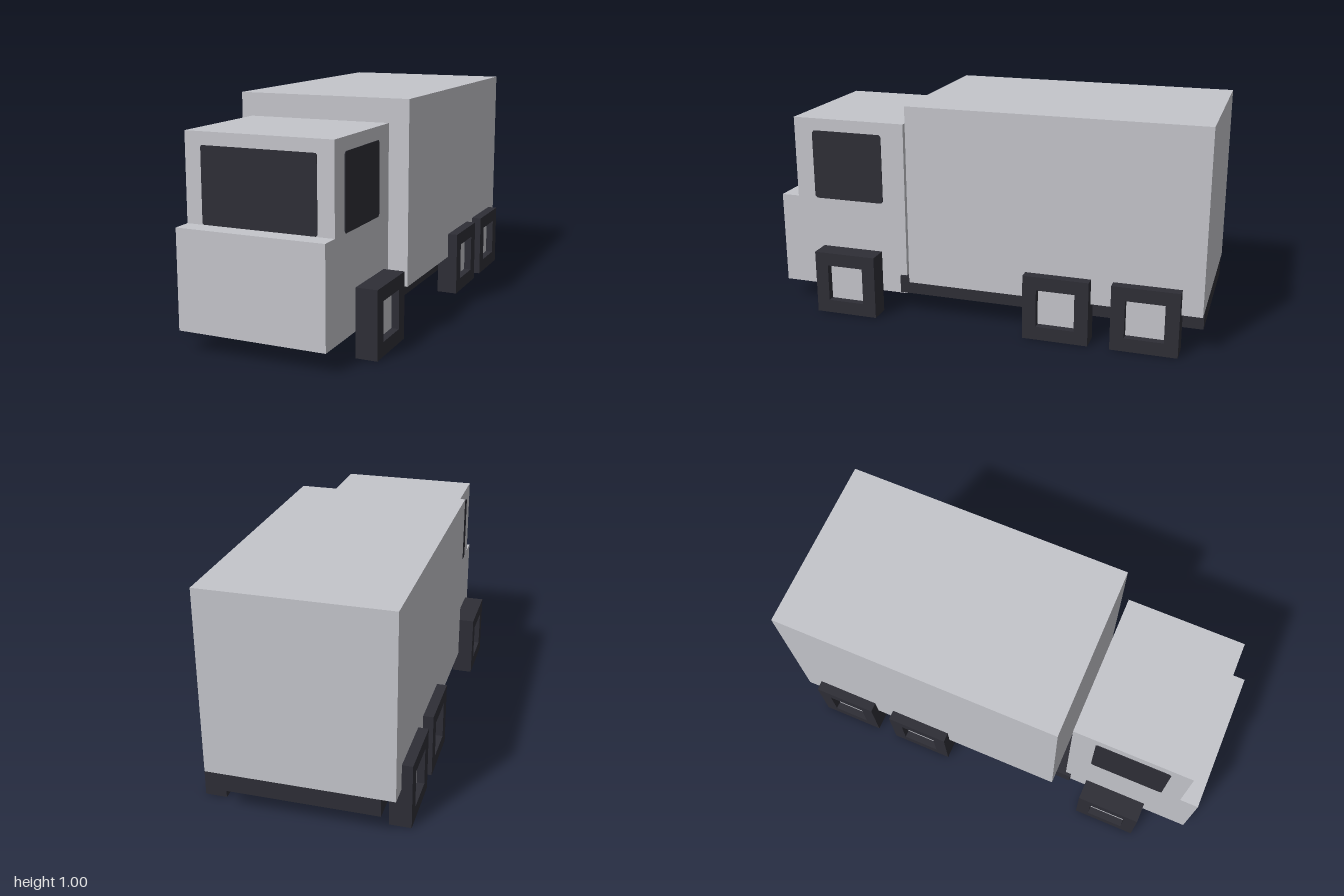
import * as THREE from 'three';

const paint = new THREE.MeshStandardMaterial({ name: 'pale grey paint', color: 0xc4c5cb });
const dark = new THREE.MeshStandardMaterial({ name: 'dark charcoal', color: 0x2e2e36 });

function add(parent, name, geometry, material, x = 0, y = 0, z = 0) {
  const mesh = new THREE.Mesh(geometry, material);
  mesh.name = name;
  mesh.position.set(x, y, z);
  parent.add(mesh);
  return mesh;
}

// Box given by its min and max on each axis
function block(parent, name, material, [x0, x1], [y0, y1], [z0, z1]) {
  return add(parent, name, new THREE.BoxGeometry(x1 - x0, y1 - y0, z1 - z0), material,
    (x0 + x1) / 2, (y0 + y1) / 2, (z0 + z1) / 2);
}

// Extrudes a (z, y) side outline across x, centred on x = 0
function sideExtrude(shape, width) {
  const g = new THREE.ExtrudeGeometry(shape, { depth: width, bevelEnabled: false });
  return g.translate(0, 0, -width / 2).rotateY(-Math.PI / 2);
}

const outline = (points) => new THREE.Shape(points.map(([a, b]) => new THREE.Vector2(a, b)));

function square(size) {
  const h = size / 2;
  return outline([[-h, -h], [h, -h], [h, h], [-h, h]]);
}

// Rectangle with small clipped corners, used for the glass
function clipped(a0, a1, b0, b1, c) {
  return outline([[a0 + c, b0], [a1 - c, b0], [a1, b0 + c], [a1, b1 - c],
    [a1 - c, b1], [a0 + c, b1], [a0, b1 - c], [a0, b0 + c]]);
}

// Square wheel: hollow tyre frame, dark inner wall and recessed hub plate
function makeWheel(side, z, name) {
  const wheel = new THREE.Group();
  wheel.name = name;
  const size = 0.295, width = 0.095, recess = 0.04;
  const frame = square(size);
  frame.holes.push(square(0.172));
  add(wheel, 'tyre', sideExtrude(frame, recess), dark, side * (width - recess) / 2);
  add(wheel, 'tyreInner', new THREE.BoxGeometry(width - recess, size, size), dark, -side * recess / 2);
  add(wheel, 'hub', new THREE.BoxGeometry(0.006, 0.172, 0.172), paint, side * (width / 2 - recess + 0.003));
  wheel.position.set(side * 0.403, size / 2, z);
  return wheel;
}

export function createModel() {
  const truck = new THREE.Group();
  truck.name = 'boxTruck';

  // Cargo box and chassis
  block(truck, 'cargoBox', paint, [-0.405, 0.405], [0.18, 1], [-1, 0.33]);
  block(truck, 'chassis', dark, [-0.345, 0.345], [0.1, 0.18], [-1, 0.4]);

  // Cab with a short stepped nose
  const cab = outline([[0.373, 0.09], [1, 0.09], [1, 0.52], [0.915, 0.52], [0.915, 0.9], [0.373, 0.9]]);
  add(truck, 'cab', sideExtrude(cab, 0.66), paint);

  // Glass
  const glass = new THREE.ExtrudeGeometry(clipped(-0.257, 0.257, 0.521, 0.845, 0.006),
    { depth: 0.005, bevelEnabled: false });
  add(truck, 'windshield', glass, dark, 0, 0, 0.912);
  for (const side of [1, -1]) {
    const label = side > 0 ? 'left' : 'right';
    add(truck, label + 'Window', sideExtrude(clipped(0.482, 0.825, 0.52, 0.843, 0.01), 0.006), dark, side * 0.33);
    // One front axle, two rear axles
    [['Front', 0.632], ['Middle', -0.37], ['Rear', -0.762]].forEach(([axle, z]) =>
      truck.add(makeWheel(side, z, label + axle + 'Wheel')));
  }
  return truck;
}
